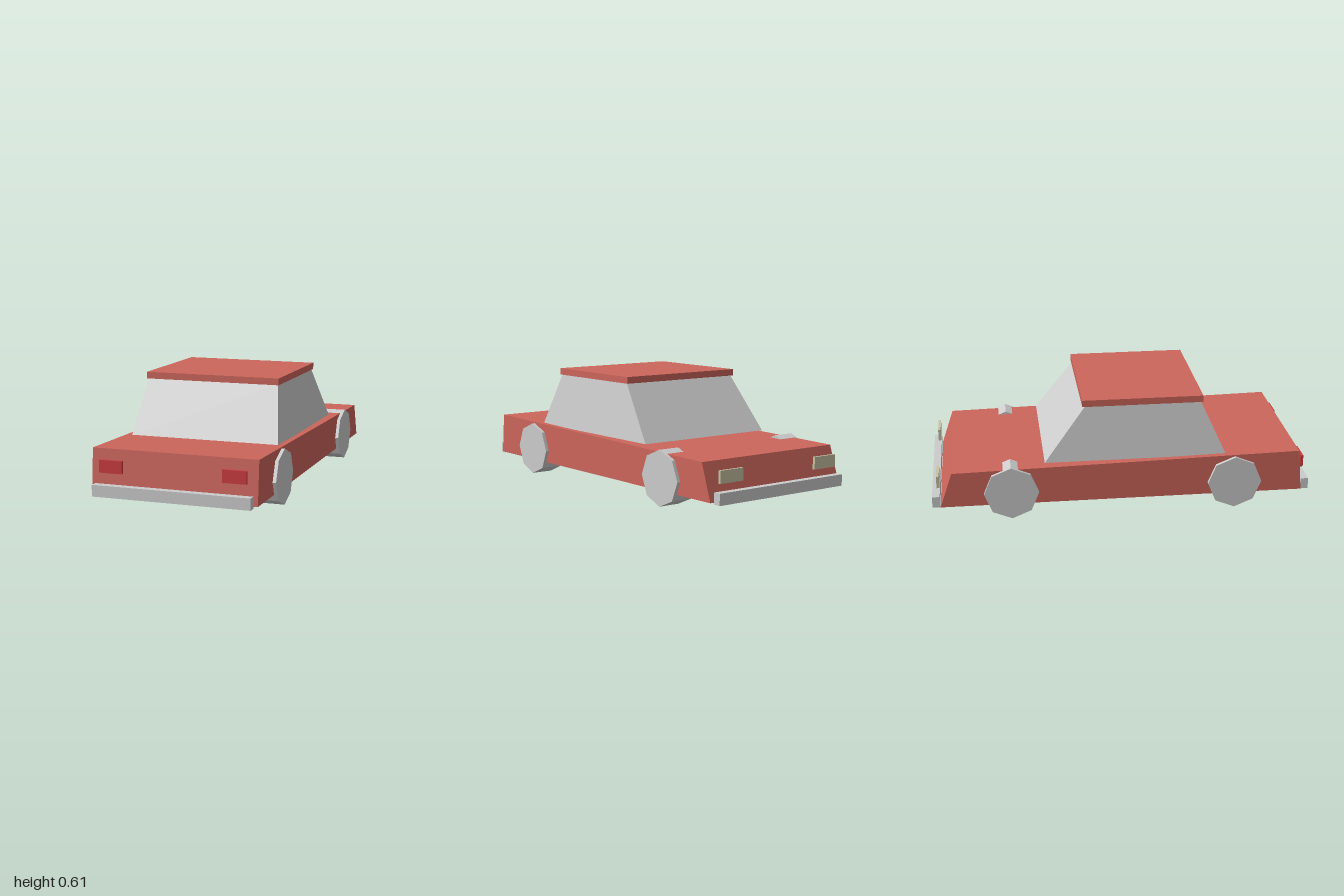
import * as THREE from 'three';

const flat = (name, color) => {
  const m = new THREE.MeshStandardMaterial({ color, flatShading: true });
  m.name = name;
  return m;
};

export function createModel() {
  const car = new THREE.Group();
  car.name = 'car';
  const red = flat('body red', 0xcc665c);
  const grey = flat('light grey', 0xcccccc);
  const lampRed = flat('lamp red', 0xcc3c3e);
  const lampCream = flat('lamp cream', 0xc8c3a4);

  const add = (name, geometry, material) => {
    const mesh = new THREE.Mesh(geometry, material);
    mesh.name = name;
    car.add(mesh);
    return mesh;
  };
  // Box given by its lower and upper corner
  const box = (name, material, [x0, y0, z0], [x1, y1, z1]) => {
    const mesh = add(name, new THREE.BoxGeometry(x1 - x0, y1 - y0, z1 - z0), material);
    mesh.position.set((x0 + x1) / 2, (y0 + y1) / 2, (z0 + z1) / 2);
  };

  // Lower body: wedge-shaped side profile extruded across the width
  const halfWidth = 0.432;
  const profile = new THREE.Shape([
    [0.955, 0.077], [0.935, 0.3], [-0.893, 0.265], [-0.957, 0.077],
  ].map(([z, y]) => new THREE.Vector2(-z, y)));
  const body = new THREE.ExtrudeGeometry(profile, { depth: halfWidth * 2, bevelEnabled: false });
  body.translate(0, 0, -halfWidth).rotateY(Math.PI / 2);
  add('body', body, red);

  // Cabin: box tapered towards the roof
  const cabin = new THREE.BoxGeometry(1, 1, 1);
  const p = cabin.attributes.position;
  for (let i = 0; i < p.count; i++) {
    const top = p.getY(i) > 0;
    const front = p.getZ(i) > 0;
    p.setXYZ(i, Math.sign(p.getX(i)) * (top ? 0.355 : 0.4), top ? 0.58 : 0.287,
      top ? (front ? 0.412 : -0.19) : (front ? 0.547 : -0.41));
  }
  cabin.computeVertexNormals();
  add('cabin', cabin, grey);

  box('roof', red, [-0.363, 0.575, -0.208], [0.363, 0.61, 0.425]);

  // Bumpers
  box('frontBumper', grey, [-0.411, 0.068, 0.96], [0.411, 0.127, 1]);
  box('backBumper', grey, [-0.411, 0.068, -1], [0.411, 0.127, -0.96]);

  for (const side of [-1, 1]) {
    const name = side > 0 ? 'left' : 'right';
    const span = (a, b) => (side > 0 ? [a, b] : [-b, -a]);

    // Lamps
    const [r0, r1] = span(0.26, 0.382);
    box(name + 'RedLamp', lampRed, [r0, 0.185, 0.96], [r1, 0.249, 0.974]);
    const [c0, c1] = span(0.24, 0.385);
    box(name + 'CreamLamp', lampCream, [c0, 0.166, -0.974], [c1, 0.23, -0.96]);

    // Eight-sided wheels
    for (const z of [0.59, -0.588]) {
      const wheel = new THREE.CylinderGeometry(0.143, 0.143, 0.12, 8);
      wheel.rotateZ(Math.PI / 2);
      add(name + (z > 0 ? 'Front' : 'Back') + 'Wheel', wheel, grey)
        .position.set(side * 0.39, 0.144, z);
    }
  }
  return car;
}
